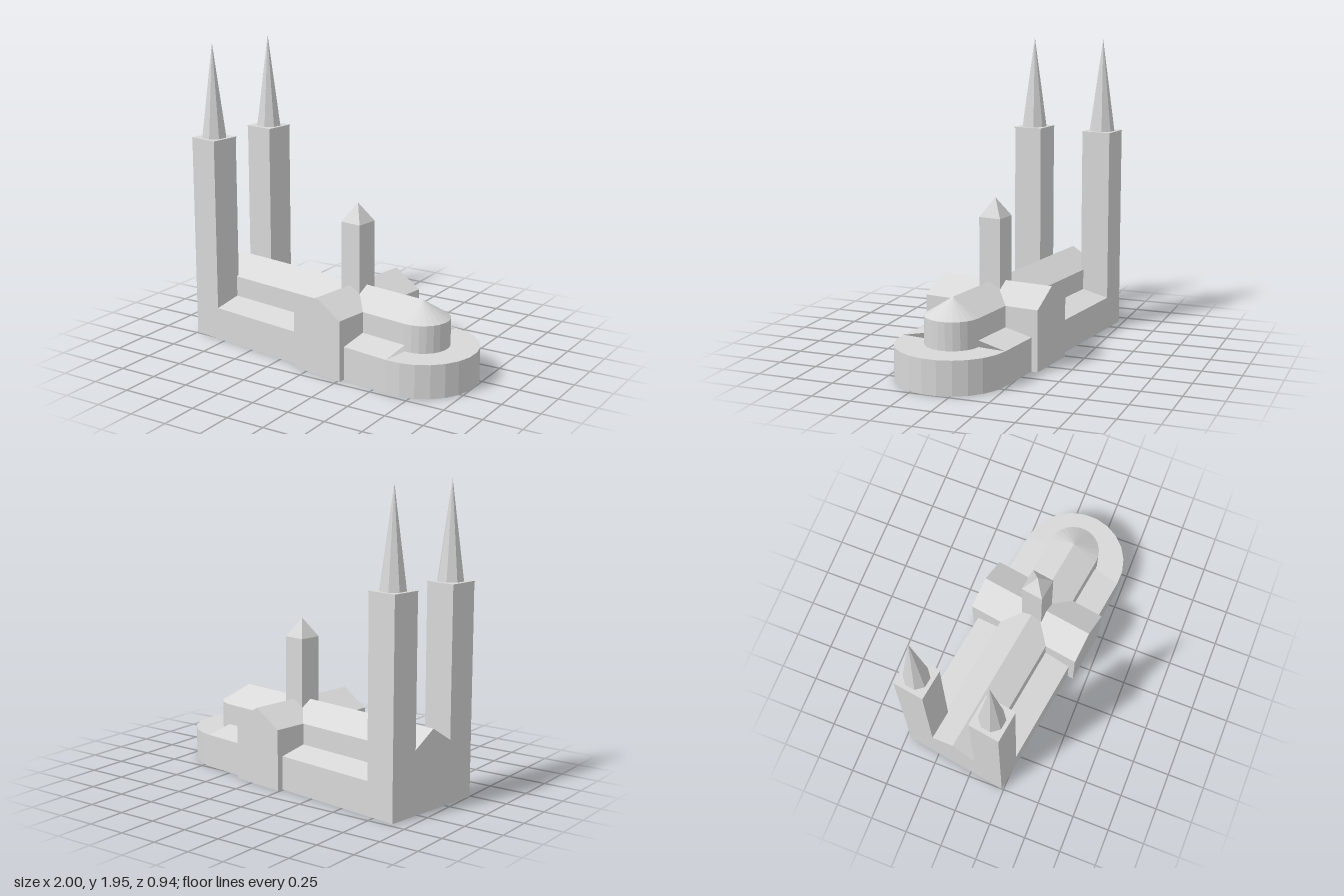
import * as THREE from 'three';

// Thin shells open underneath, so the stone shows on both faces
const stone = new THREE.MeshStandardMaterial({ color: 0xd8d8d8, side: THREE.DoubleSide });
stone.name = 'paleStone';

// Long axis runs along local x from the tower front (0) to the apse
const APSE_X = 1.612, AISLE = 0.356, NAVE = 0.175;
const WALL = 0.215, AISLE_TOP = 0.255, EAVE = 0.39, RIDGE = 0.5;
const CROSS_X = 1.1, TRANSEPT = 0.397;

// Open profile of [z, y] points swept along x
function sweep(profile, length) {
  const pos = [];
  for (let i = 0; i < profile.length - 1; i++) {
    const [z0, y0] = profile[i], [z1, y1] = profile[i + 1];
    pos.push(0, y0, z0, 0, y1, z1, length, y0, z0);
    pos.push(length, y0, z0, 0, y1, z1, length, y1, z1);
  }
  const g = new THREE.BufferGeometry();
  g.setAttribute('position', new THREE.Float32BufferAttribute(pos, 3));
  return g;
}

// Flat end wall
const wall = (points) => new THREE.ShapeGeometry(
  new THREE.Shape(points.map(([x, y]) => new THREE.Vector2(x, y))));

// Square walls without floor or ceiling
const squareWalls = (size, height) => new THREE.CylinderGeometry(
  size * Math.SQRT1_2, size * Math.SQRT1_2, height, 4, 1, true).rotateY(Math.PI / 4);

const gable = (half) => [[-half, 0], [-half, EAVE], [0, RIDGE], [half, EAVE], [half, 0]];

export function createModel() {
  const root = new THREE.Group();
  root.name = 'church';
  const church = new THREE.Group();
  church.name = 'churchBody';
  church.position.set(-0.949, 0, -0.115);
  church.rotation.y = -0.146;
  root.add(church);

  // Faceted mesh
  const add = (name, geometry, x, y, z) => {
    const g = geometry.index ? geometry.toNonIndexed() : geometry;
    g.computeVertexNormals();
    const mesh = new THREE.Mesh(g, stone);
    mesh.name = name;
    mesh.position.set(x, y, z);
    church.add(mesh);
  };

  // Nave
  add('nave', sweep(gable(NAVE), APSE_X), 0, 0, 0);
  add('naveFront', wall(gable(NAVE)).rotateY(-Math.PI / 2), 0, 0, 0);

  // Transept
  const arm = gable(0.186);
  add('transept', sweep(arm, 2 * TRANSEPT).rotateY(-Math.PI / 2), CROSS_X, 0, -TRANSEPT);
  add('transeptFrontGable', wall(arm), CROSS_X, 0, TRANSEPT);
  add('transeptBackGable', wall(arm).rotateY(Math.PI), CROSS_X, 0, -TRANSEPT);

  // Rounded east end
  const halfDrum = (r, h) => new THREE.CylinderGeometry(r, r, h, 12, 1, true, 0, Math.PI);
  add('ambulatoryWall', halfDrum(AISLE, WALL), APSE_X, WALL / 2, 0);
  add('ambulatoryRoof', new THREE.RingGeometry(NAVE, AISLE, 12, 1, -Math.PI / 2, Math.PI)
    .rotateX(-Math.PI / 2), APSE_X, WALL, 0);
  add('apseWall', halfDrum(NAVE, EAVE), APSE_X, EAVE / 2, 0);
  add('apseRoof', new THREE.ConeGeometry(NAVE, RIDGE - EAVE, 12, 1, true, 0, Math.PI),
    APSE_X, (EAVE + RIDGE) / 2, 0);

  // Crossing tower with pyramid roof
  add('crossingTower', squareWalls(0.148, 0.55), CROSS_X, 0.625, 0);
  add('crossingRoof', new THREE.ConeGeometry(0.148 * Math.SQRT1_2, 0.12, 4)
    .rotateY(Math.PI / 4), CROSS_X, 0.96, 0);

  // Side aisles and twin front towers with octagonal spires
  for (const [side, s] of [['back', -1], ['front', 1]]) {
    const profile = [[s * AISLE, 0], [s * AISLE, WALL], [s * NAVE, AISLE_TOP]];
    if (s > 0) profile.reverse();
    add(side + 'Aisle', sweep(profile, APSE_X), 0, 0, 0);
    add(side + 'AisleEnd', wall([...profile, [s * NAVE, 0]]).rotateY(-Math.PI / 2), 0, 0, 0);

    const z = s * 0.257;
    add(side + 'Tower', squareWalls(0.198, 1.335), 0.099, 0.6675, z);
    add(side + 'TowerCap', new THREE.BoxGeometry(0.204, 0.008, 0.204), 0.1, 1.336, z);
    add(side + 'Spire', new THREE.ConeGeometry(0.083, 0.61, 8).rotateY(Math.PI / 8),
      0.101, 1.645, z);
  }
  return root;
}
